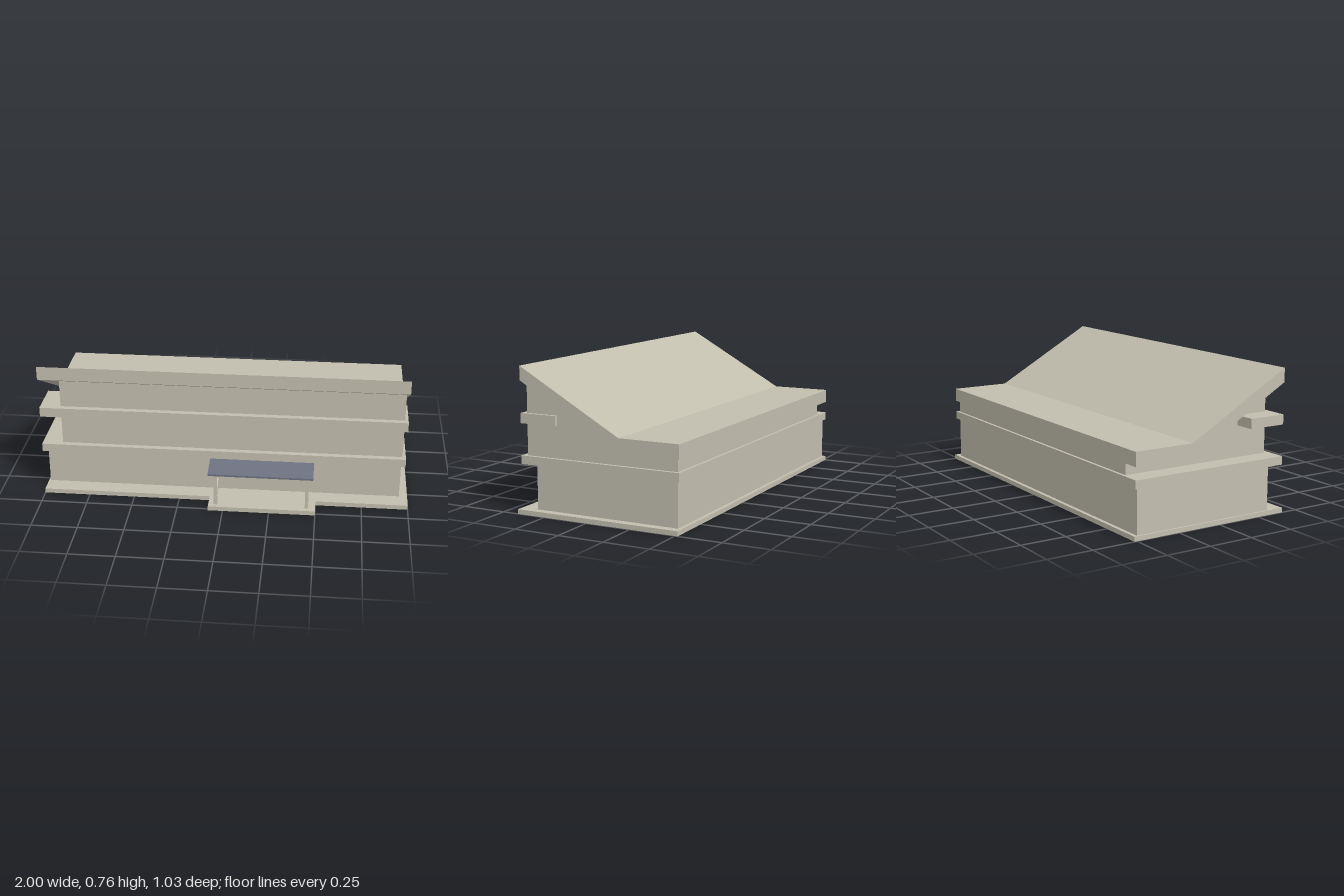
import * as THREE from 'three';

export function createModel() {
  const model = new THREE.Group();
  model.name = 'building';
  const stone = new THREE.MeshStandardMaterial({ name: 'stone beige', color: 0xc2beae });
  const slate = new THREE.MeshStandardMaterial({ name: 'slate blue', color: 0x6c7080 });

  function add(name, geometry, material, parent = model) {
    const mesh = new THREE.Mesh(geometry, material);
    mesh.name = name;
    parent.add(mesh);
    return mesh;
  }

  // Box given by its limits on each axis
  function box(name, [x0, x1], [y0, y1], [z0, z1], parent = model) {
    const geometry = new THREE.BoxGeometry(x1 - x0, y1 - y0, z1 - z0);
    geometry.translate((x0 + x1) / 2, (y0 + y1) / 2, (z0 + z1) / 2);
    return add(name, geometry, stone, parent);
  }

  // Side profile of [z, y] points, extruded along x
  function profile(name, points, [x0, x1], material = stone, parent = model) {
    const shape = new THREE.Shape(points.map(([z, y]) => new THREE.Vector2(-z, y)));
    const geometry = new THREE.ExtrudeGeometry(shape, { depth: x1 - x0, bevelEnabled: false });
    geometry.rotateY(Math.PI / 2).translate(x0, 0, 0);
    return add(name, geometry, material, parent);
  }

  // Ground slab with the porch step in one outline
  const outline = [[-1, -0.515], [1, -0.515], [1, 0.41], [0.5, 0.41],
    [0.5, 0.515], [-0.08, 0.515], [-0.08, 0.41], [-1, 0.41]];
  const slab = new THREE.Shape(outline.map(([x, z]) => new THREE.Vector2(x, -z)));
  add('groundSlab', new THREE.ExtrudeGeometry(slab, { depth: 0.025, bevelEnabled: false })
    .rotateX(-Math.PI / 2), stone);

  // Floors and projecting ledges
  const overhang = [-1, 0.973];
  box('lowerWalls', [-0.99, 0.955], [0.025, 0.258], [-0.495, 0.315]);
  box('middleSlab', overhang, [0.258, 0.303], [-0.51, 0.4]);
  profile('upperWalls', [[-0.495, 0.303], [0.37, 0.303], [0.37, 0.673],
    [-0.175, 0.368], [-0.495, 0.368]], [-0.89, 0.955]);
  box('frontLedge', overhang, [0.47, 0.523], [0.19, 0.4]);

  // Roof: steep front pitch over a flat back
  profile('roof', [[0.4, 0.765], [-0.175, 0.443], [-0.51, 0.443],
    [-0.51, 0.368], [-0.175, 0.368], [0.4, 0.69]], overhang);

  // Entrance canopy
  const porch = new THREE.Group();
  porch.name = 'porch';
  model.add(porch);
  const span = [-0.08, 0.485];
  const layer = (name, top, bottom, material) => profile(name,
    [[0.315, top], [0.315, bottom], [0.51, bottom - 0.031], [0.51, top - 0.031]],
    span, material, porch);
  layer('canopyCover', 0.253, 0.243, slate);
  layer('canopyBoard', 0.243, 0.235, stone);

  // Posts and triangular side panels
  for (const x of [-0.041, 0.453]) {
    box('canopyPost', [x - 0.009, x + 0.009], [0.025, 0.21], [0.473, 0.49], porch);
    profile('sidePanel', [[0.315, 0.05], [0.47, 0.05], [0.315, 0.15]],
      [x - 0.005, x + 0.005], stone, porch);
  }

  return model;
}
